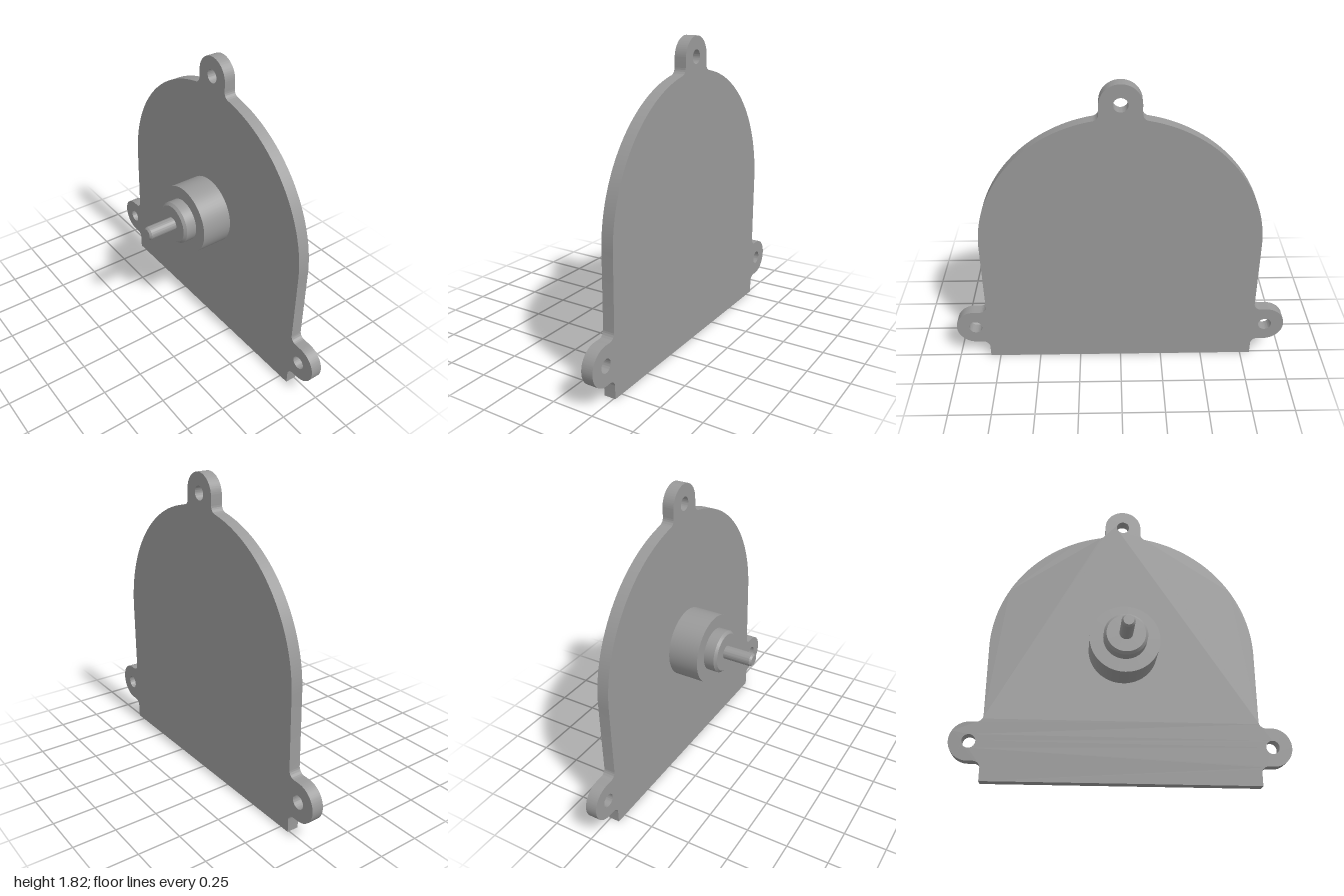
import * as THREE from 'three';
import { toCreasedNormals } from 'three/addons/utils/BufferGeometryUtils.js';

const PI = Math.PI;
const CY = 0.815;   // height of the shaft axis and of the dome centre
const R = 0.81;     // dome radius and half width of the plate
const LUG = 0.115;  // lug radius
const F = 0.04;     // fillet radius

// Plate outline with three rounded lugs and their bolt holes
function plateShape() {
  const t = Math.acos((LUG + F) / (R + F));
  const filletY = CY + (R + F) * Math.sin(t);
  // [centre x, centre y, radius, start angle, end angle, clockwise]
  const half = [
    [R + F, 0.23 - LUG - F, F, PI, PI / 2, true],
    [0.885, 0.23, LUG, -PI / 2, PI / 2, false],
    [R + F, 0.23 + LUG + F, F, -PI / 2, -PI, true],
    [0, CY, R, 0, t, false],
    [LUG + F, filletY, F, t + PI, PI, true],
    [0, 1.7, LUG, 0, PI / 2, false],
  ];
  const mirrored = half.map(([x, y, r, a, b, cw]) => [-x, y, r, PI - b, PI - a, cw]).reverse();

  const shape = new THREE.Shape();
  shape.moveTo(-R, 0);
  shape.lineTo(R, 0);
  for (const arc of [...half, ...mirrored]) shape.absarc(...arc);
  shape.closePath();

  for (const [x, y] of [[0, 1.7], [0.885, 0.23], [-0.885, 0.23]]) {
    const hole = new THREE.Path();
    hole.absarc(x, y, 0.04, 0, 2 * PI, true);
    shape.holes.push(hole);
  }
  return shape;
}

export function createModel() {
  const group = new THREE.Group();
  const grey = new THREE.MeshStandardMaterial({ color: 0x999999 });
  grey.name = 'grey metal';

  function add(name, geometry) {
    const mesh = new THREE.Mesh(toCreasedNormals(geometry, 0.5), grey);
    mesh.name = name;
    group.add(mesh);
  }

  // Flat cover plate facing along x
  const plate = new THREE.ExtrudeGeometry(plateShape(), { depth: 0.07, bevelEnabled: false, curveSegments: 32 });
  plate.rotateY(PI / 2);
  plate.translate(0.19, 0, 0);
  add('coverPlate', plate);

  // Turned parts pointing to -x; profiles are [radius, distance towards -x]
  const turned = {
    boss: [[0.21, -0.19], [0.21, 0], [0, 0]],
    collar: [[0.13, 0], [0.13, 0.065], [0.115, 0.08], [0, 0.08]],
    shaftPin: [[0.04, 0.08], [0.04, 0.25], [0.03, 0.262], [0, 0.262]],
  };
  for (const [name, profile] of Object.entries(turned)) {
    const lathe = new THREE.LatheGeometry(profile.map(p => new THREE.Vector2(...p)), 64);
    lathe.rotateZ(PI / 2);
    lathe.translate(0, CY, 0);
    add(name, lathe);
  }

  return group;
}
